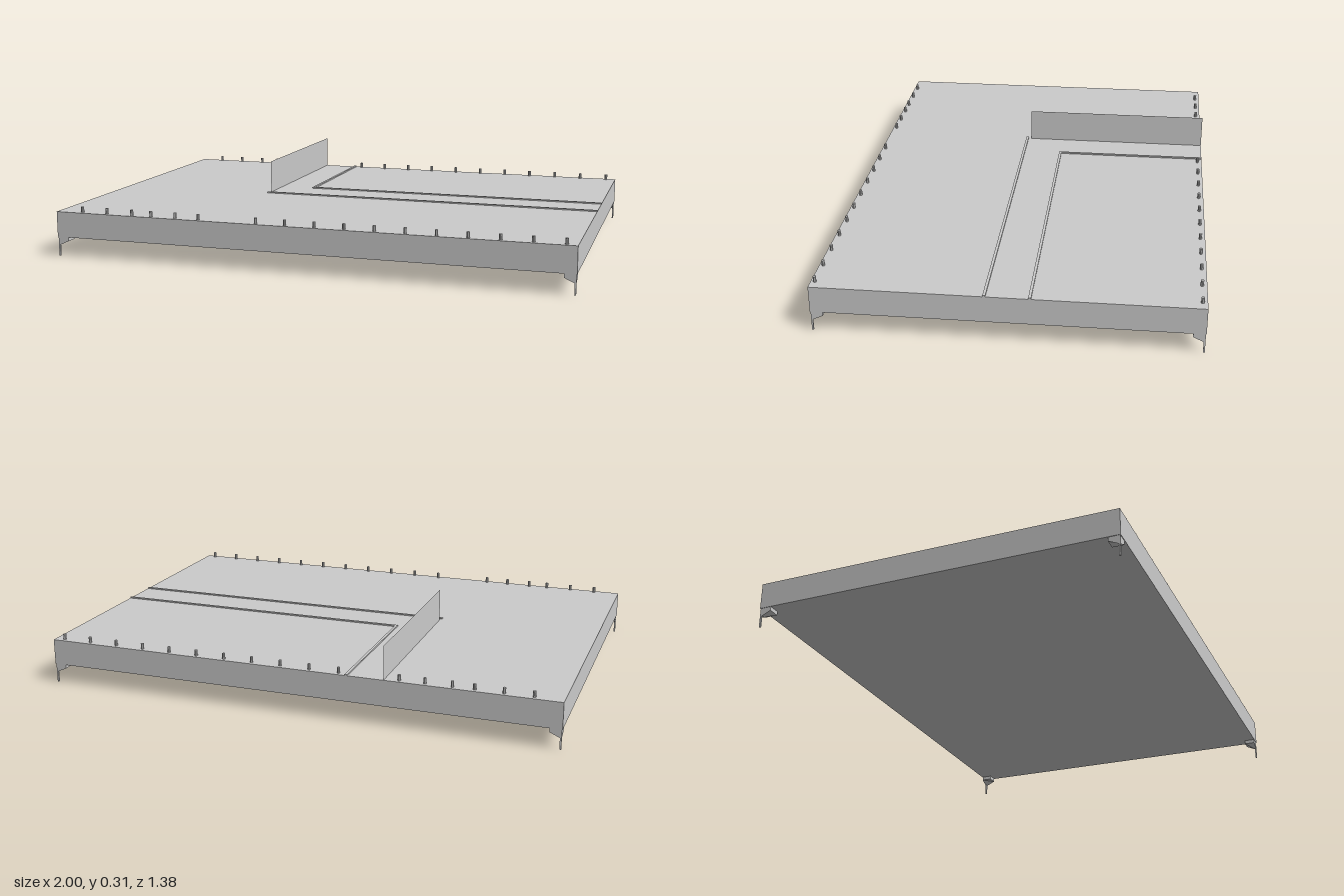
import * as THREE from 'three';

const grey = new THREE.MeshStandardMaterial({ color: 0xcccccc, flatShading: true });
const thin = new THREE.MeshStandardMaterial({ color: 0xcccccc, flatShading: true, side: THREE.DoubleSide });
const W = 1, D = 0.69, BASE = 0.075, TOP = 0.175;

export function createModel() {
  const model = new THREE.Group();
  model.name = 'platform';

  function add(name, geometry, x, y, z, material = grey) {
    const mesh = new THREE.Mesh(geometry, material);
    mesh.name = name;
    mesh.position.set(x, y, z);
    model.add(mesh);
    return mesh;
  }
  // Box given by its extents
  function block(name, x0, x1, y0, y1, z0, z1) {
    return add(name, new THREE.BoxGeometry(x1 - x0, y1 - y0, z1 - z0),
      (x0 + x1) / 2, (y0 + y1) / 2, (z0 + z1) / 2);
  }

  // Main slab
  block('deck', -W, W, BASE, TOP, -D, D);

  // Thin upright wall running to the back edge
  const wall = add('partition', new THREE.PlaneGeometry(0.745, 0.13), -0.357, TOP + 0.065, (0.055 - D) / 2, thin);
  wall.rotation.y = Math.PI / 2;

  // Low rails on the deck: a long outer one and an L-shaped inner one
  const railTop = TOP + 0.005;
  block('outerRail', -0.365, W, TOP, railTop, 0.068, 0.078);
  block('innerRail', -0.22, W, TOP, railTop, -0.09, -0.08);
  block('innerRailReturn', -0.22, -0.21, TOP, railTop, -D, -0.09);

  // Rows of pegs along the front and back edges
  const pegX = [-0.895, -0.79, -0.685, -0.605, -0.505, -0.41];
  for (let i = 0; i < 11; i++) pegX.push(-0.18 + i * 0.114);
  const peg = new THREE.CylinderGeometry(0.006, 0.006, 0.022, 8);
  for (const z of [-0.672, 0.675])
    for (const x of pegX) add('peg', peg, x, TOP + 0.011, z);

  // Corner brackets whose underside slopes down to the outer corner, with thin feet
  const s = 0.043;
  for (const sx of [-1, 1]) {
    for (const sz of [-1, 1]) {
      const bracket = new THREE.BoxGeometry(s, BASE - 0.06, s);
      const p = bracket.attributes.position;
      for (let i = 0; i < p.count; i++)
        if (p.getY(i) < 0 && p.getX(i) * sx > 0 && p.getZ(i) * sz > 0) p.setY(i, p.getY(i) - 0.02);
      bracket.computeVertexNormals();
      add('cornerBracket', bracket, sx * (W - 0.002 - s / 2), (BASE + 0.06) / 2, sz * (D - 0.002 - s / 2));
      add('foot', new THREE.BoxGeometry(0.006, BASE, 0.006), sx * (W - 0.005), BASE / 2, sz * (D - 0.005));
    }
  }
  return model;
}
